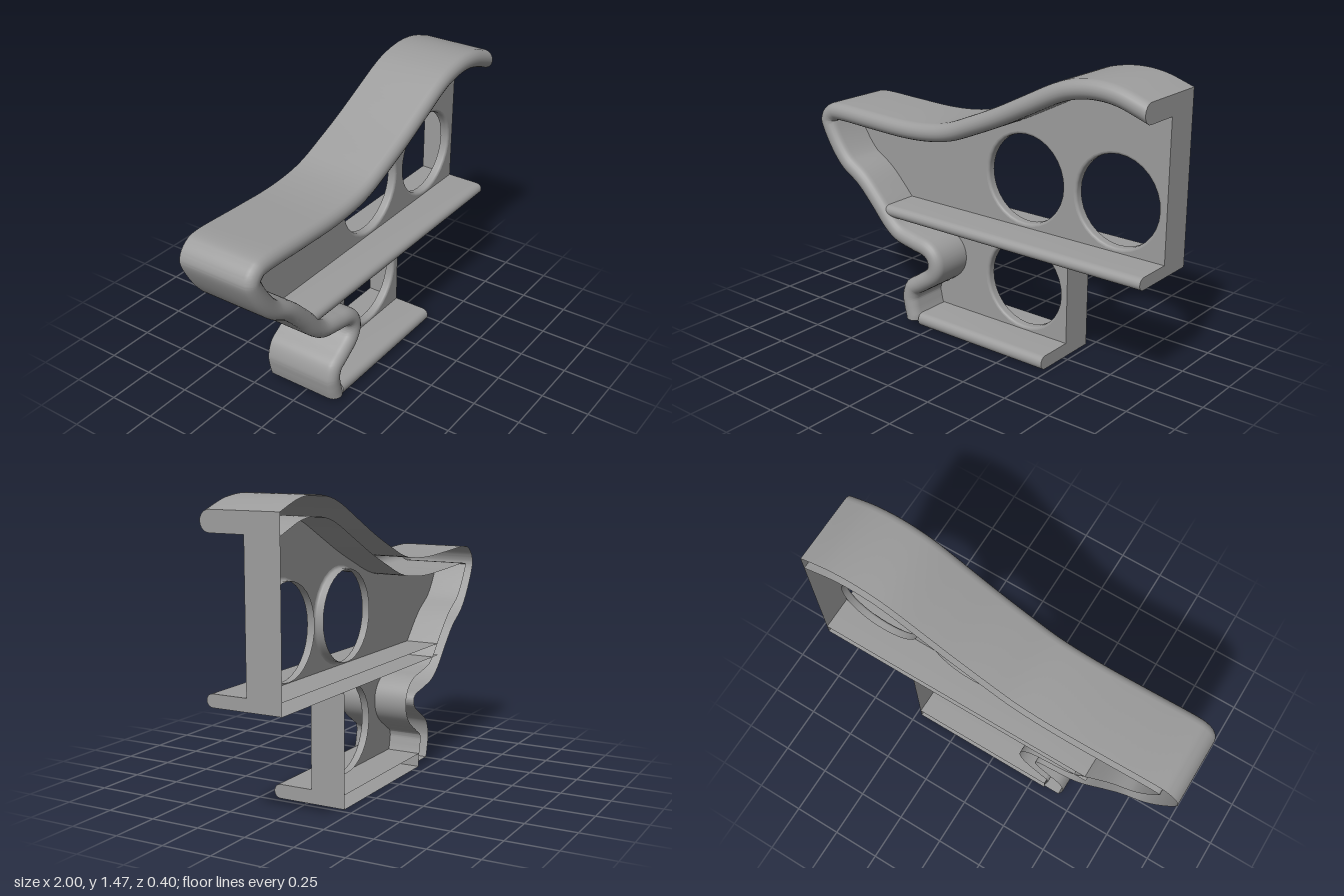
import * as THREE from 'three';
import { toCreasedNormals } from 'three/addons/utils/BufferGeometryUtils.js';

const BACK = -0.2, SHEET = -0.022; // open back plane, recessed sheet plane
const V = (x, y) => new THREE.Vector2(x, y);

// U-shaped cross-section as (t, z): t = 0 outer wall, t = 1 inner wall, rounded front edge
function section(front, r) {
  const pts = [V(0, BACK)];
  for (let k = 0; k <= 10; k++) {
    const a = (Math.PI * k) / 10;
    pts.push(V(0.5 - 0.5 * Math.cos(a), front - r + r * Math.sin(a)));
  }
  pts.push(V(1, BACK));
  return pts;
}

// Sweep a section between two matching rails in the xy plane
function sweep(outer, inner, sec) {
  const pos = [], idx = [], n = sec.length;
  outer.forEach((o, i) => sec.forEach((s) => {
    const p = o.clone().lerp(inner[i], s.x);
    pos.push(p.x, p.y, s.y);
  }));
  for (let i = 0; i < outer.length - 1; i++) {
    for (let j = 0; j < n - 1; j++) {
      const a = i * n + j, b = a + n;
      idx.push(a, b, a + 1, b, b + 1, a + 1);
    }
  }
  const g = new THREE.BufferGeometry();
  g.setAttribute('position', new THREE.Float32BufferAttribute(pos, 3));
  g.setIndex(idx);
  return toCreasedNormals(g, 0.6);
}

// Flat wall facing +x, from (z, y) points
function endWall(points, x) {
  const shape = new THREE.Shape(points.map((p) => V(-p.x, p.y)));
  return new THREE.ShapeGeometry(shape).rotateY(Math.PI / 2).translate(x, 0, 0);
}

export function createModel() {
  const group = new THREE.Group();
  const mat = new THREE.MeshStandardMaterial({ color: 0x9c9c9c, side: THREE.DoubleSide });
  const add = (name, geo) => {
    const m = new THREE.Mesh(geo, mat);
    m.name = name;
    group.add(m);
  };

  // Outer silhouette, from the top right end round the tip to the foot
  const outline = [
    [1, 1.41], [0.86, 1.455], [0.73, 1.468], [0.6, 1.452], [0.49, 1.415], [0.33, 1.335],
    [0.17, 1.255], [0.01, 1.185], [-0.13, 1.13], [-0.26, 1.105], [-0.42, 1.096], [-0.63, 1.102],
    [-0.875, 1.11], [-0.955, 1.088], [-0.997, 1.035], [-0.994, 0.975], [-0.93, 0.857],
    [-0.85, 0.762], [-0.74, 0.69], [-0.645, 0.596], [-0.553, 0.495], [-0.473, 0.44],
    [-0.366, 0.414], [-0.286, 0.398], [-0.26, 0.37], [-0.275, 0.33], [-0.34, 0.283],
    [-0.41, 0.233], [-0.438, 0.158], [-0.43, 0.088], [-0.415, 0.03],
  ];
  const curve = new THREE.SplineCurve(outline.map(([x, y]) => V(x, y)));
  const N = 240, W = 0.093, outer = curve.getPoints(N), inner = [];
  outer.forEach((o, i) => {
    const t = curve.getTangent(i / N);
    let p = V(o.x - t.y * W, o.y + t.x * W);
    // Where the offset folds at the tip, hold the last good point
    if (i && outer.some((q) => q.distanceTo(p) < W * 0.96)) p = inner[i - 1].clone();
    inner.push(p);
  });
  inner[0].set(1, 1.311);
  inner[N].y = 0.03;

  // Rounded hollow rim and its foot
  const rimSec = section(0.2, 0.047);
  add('rim', sweep(outer, inner, rimSec));
  const foot = rimSec.map((s) => V(outer[N].x + s.x * (inner[N].x - outer[N].x), s.y));
  add('rimFoot', new THREE.ShapeGeometry(new THREE.Shape(foot)).rotateX(Math.PI / 2).translate(0, 0.03, 0));

  // Hollow horizontal flanges with rounded noses
  const nose = section(0.184, 0.033);
  const flangeSec = (y0, y1) => nose.map((s) => V(s.y, y0 + s.x * (y1 - y0)));
  const flange = (name, x0, x1, y0, y1) => {
    add(name, sweep([V(x0, y0), V(x1, y0)], [V(x0, y1), V(x1, y1)], nose));
  };
  flange('middleFlange', -0.55, 1, 0.558, 0.62);
  flange('bottomFlange', -0.325, 0.472, 0, 0.07);
  add('bottomFlangeEnd', endWall(flangeSec(0, 0.07), -0.325));

  // Flat end walls on the right
  const noBack = (pts) => pts.slice(0, -1);
  const rimEnd = noBack(rimSec.map((s) => V(s.y, outer[0].y + s.x * (inner[0].y - outer[0].y)))).reverse();
  add('upperEndWall', endWall([...noBack(flangeSec(0.558, 0.62)), V(SHEET, 0.62), V(SHEET, inner[0].y), ...rimEnd], 1));
  add('lowerEndWall', endWall([...noBack(flangeSec(0, 0.07)), V(SHEET, 0.07), V(SHEET, 0.558), V(BACK, 0.558)], 0.472));

  // Recessed sheets with round holes
  const R = 0.225, F = 0.014;
  const upperHoles = [[0.206, 0.865], [0.733, 0.865]], lowerHoles = [[0.206, 0.312]];
  const sheet = (name, y0, y1, x1, closing, holes) => {
    const edge = inner.filter((p, i) => p.y >= y0 && p.y <= y1 && (!i || p.distanceTo(inner[i - 1]) > 1e-4));
    const shape = new THREE.Shape([...edge, V(edge[edge.length - 1].x, y0), V(x1, y0), ...closing]);
    holes.forEach(([x, y]) => {
      const hole = new THREE.Path();
      hole.absarc(x, y, R + F, 0, Math.PI * 2, true);
      shape.holes.push(hole);
    });
    add(name, new THREE.ShapeGeometry(shape, 16).translate(0, 0, SHEET));
  };
  sheet('upperSheet', 0.62, 2, 1, [], upperHoles);
  sheet('lowerSheet', 0.07, 0.558, 0.472, [V(0.472, 0.558)], lowerHoles);

  // Rounded lips lining the holes
  const lip = [V(R, -0.045)];
  for (let k = 0; k <= 4; k++) {
    const a = (Math.PI / 8) * k;
    lip.push(V(R + F - F * Math.cos(a), -F + F * Math.sin(a)));
  }
  [...upperHoles, ...lowerHoles].forEach(([x, y]) => {
    add('holeLip', new THREE.LatheGeometry(lip, 32).rotateX(Math.PI / 2).translate(x, y, SHEET));
  });
  return group;
}
